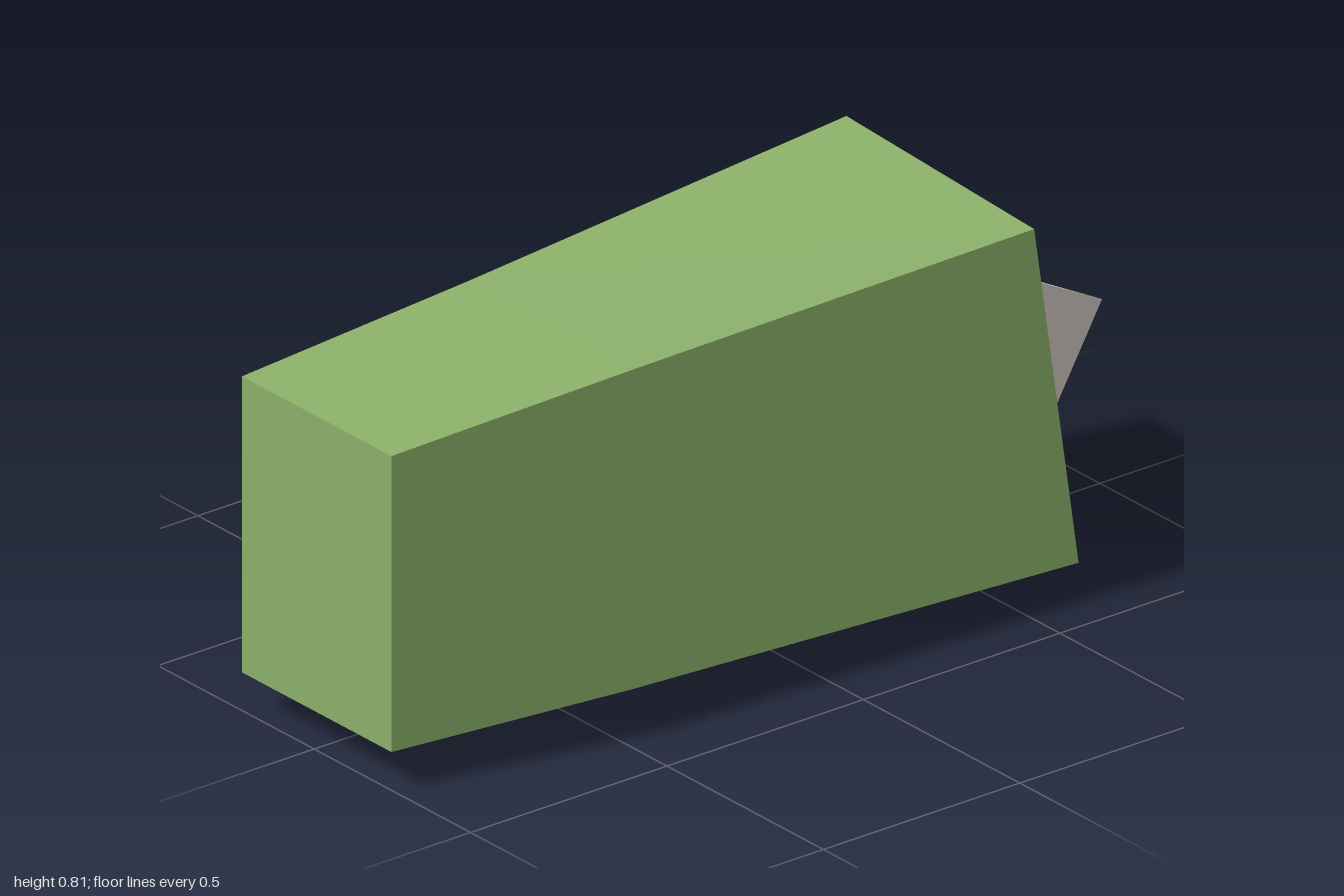
import * as THREE from 'three';

// Four-cornered cross-sections: top front, bottom front, bottom back, top back
const rear = [[-1, 0.737, 0.247], [-1, 0.086, 0.247], [-1, 0.086, -0.231], [-1, 0.737, -0.231]];
const middle = [[-0.4, 0.761, 0.269], [-0.4, 0.058, 0.269], [-0.4, 0.058, -0.257], [-0.4, 0.763, -0.257]];
const rim = [[0.59, 0.793, 0.305], [0.703, 0.026, 0.305], [0.713, 0.002, -0.305], [0.6, 0.814, -0.308]];
const socket = [[0.692, 0.598, 0.156], [0.745, 0.238, 0.142], [0.749, 0.228, -0.132], [0.708, 0.548, -0.1]];
const tip = [1, 0.41, 0.007];
const tipRing = [tip, tip, tip, tip];

// Flat-sided skin through consecutive rings, with an optional cap on the first
function skin(rings, capStart = false) {
  const p = [];
  const tri = (a, b, c) => p.push(...a, ...b, ...c);
  for (let r = 0; r < rings.length - 1; r++) {
    const a = rings[r], b = rings[r + 1];
    for (let i = 0; i < 4; i++) {
      const j = (i + 1) % 4;
      tri(a[i], a[j], b[j]);
      if (b[i] !== b[j]) tri(a[i], b[j], b[i]);
    }
  }
  if (capStart) {
    const a = rings[0];
    tri(a[2], a[1], a[0]);
    tri(a[3], a[2], a[0]);
  }
  const g = new THREE.BufferGeometry();
  g.setAttribute('position', new THREE.Float32BufferAttribute(p, 3));
  g.computeVertexNormals();
  return g;
}

function makeMaterial(name, color) {
  const m = new THREE.MeshStandardMaterial({ color });
  m.name = name;
  return m;
}

export function createModel() {
  const model = new THREE.Group();
  model.name = 'spikedBlock';
  const add = (name, geometry, material) => {
    const mesh = new THREE.Mesh(geometry, material);
    mesh.name = name;
    model.add(mesh);
  };

  // Flaring green body, closed at the narrow end
  add('body', skin([rear, middle, rim], true), makeMaterial('leafGreen', 0x8bb06a));
  // Shallow red face on the wide end
  add('endFace', skin([rim, socket]), makeMaterial('red', 0xd93b3b));
  // Four-sided pale spike
  add('spike', skin([socket, tipRing]), makeMaterial('paleGrey', 0xcac3bc));

  return model;
}
